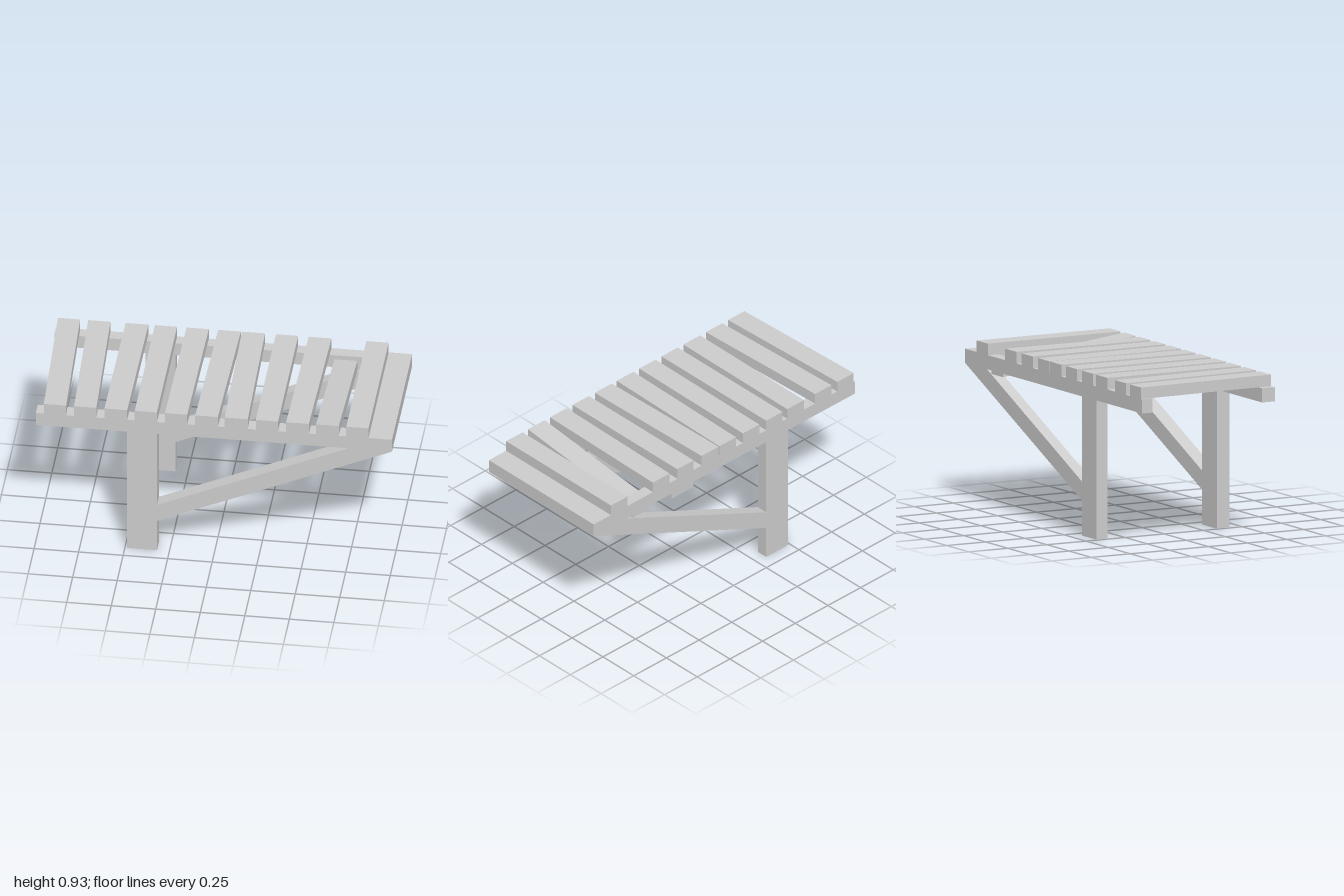
import * as THREE from 'three';

const material = new THREE.MeshStandardMaterial({ color: 0xcccccc, flatShading: true });
const FRONT = 0.425, BACK = -0.425;

function add(group, name, geometry) {
  const mesh = new THREE.Mesh(geometry, material);
  mesh.name = name;
  group.add(mesh);
  return mesh;
}

// Box given by its limits on each axis
function beam(x0, x1, y0, y1, z0, z1) {
  return new THREE.BoxGeometry(x1 - x0, y1 - y0, z1 - z0)
    .translate((x0 + x1) / 2, (y0 + y1) / 2, (z0 + z1) / 2);
}

// Slat whose back end is shifted sideways and/or dropped
function slat(x0, x1, skew, drop) {
  const geometry = beam(x0, x1, 0.865, 0.93, BACK, FRONT);
  const p = geometry.attributes.position;
  for (let i = 0; i < p.count; i++) {
    if (p.getZ(i) < 0) p.setXY(i, p.getX(i) + skew, p.getY(i) - drop);
  }
  geometry.computeVertexNormals();
  return geometry;
}

export function createModel() {
  const model = new THREE.Group();
  model.name = 'slattedBench';

  // Side frames: rail, leg and diagonal brace
  const braceShape = new THREE.Shape([
    [-0.32, 0.198], [1, 0.785], [0.865, 0.835], [-0.32, 0.305],
  ].map(([x, y]) => new THREE.Vector2(x, y)));

  for (const [side, z0, z1] of [['front', 0.343, FRONT], ['back', BACK, -0.357]]) {
    const frame = new THREE.Group();
    frame.name = side + 'Frame';
    add(frame, side + 'Rail', beam(-1, 0.865, 0.785, 0.865, z0, z1));
    add(frame, side + 'Leg', beam(-0.488, -0.32, 0, 0.785, z0, z1));
    add(frame, side + 'Brace', new THREE.ExtrudeGeometry(braceShape,
      { depth: z1 - z0, bevelEnabled: false }).translate(0, 0, z0));
    model.add(frame);
  }

  // Cross board joining the rail ends
  add(model, 'endBoard', beam(0.865, 1, 0.785, 0.865, BACK, FRONT));

  // Slats: front left edge, front right edge, sideways shift and drop of the back end
  const slats = [
    [-0.955, -0.83, -0.034, 0],
    [-0.785, -0.66, -0.034, 0],
    [-0.615, -0.487, 0.006, 0],
    [-0.445, -0.32, 0, 0],
    [-0.275, -0.15, 0.008, 0],
    [-0.105, 0.022, 0.016, 0],
    [0.06, 0.19, -0.016, 0],
    [0.235, 0.36, 0, 0],
    [0.405, 0.533, 0.014, 0],
    [0.573, 0.701, 0, 0.1], // loose slat, sunk at the back
    [0.743, 0.868, 0, 0],
  ];
  slats.forEach((s, i) => add(model, 'slat' + (i + 1), slat(...s)));

  return model;
}
